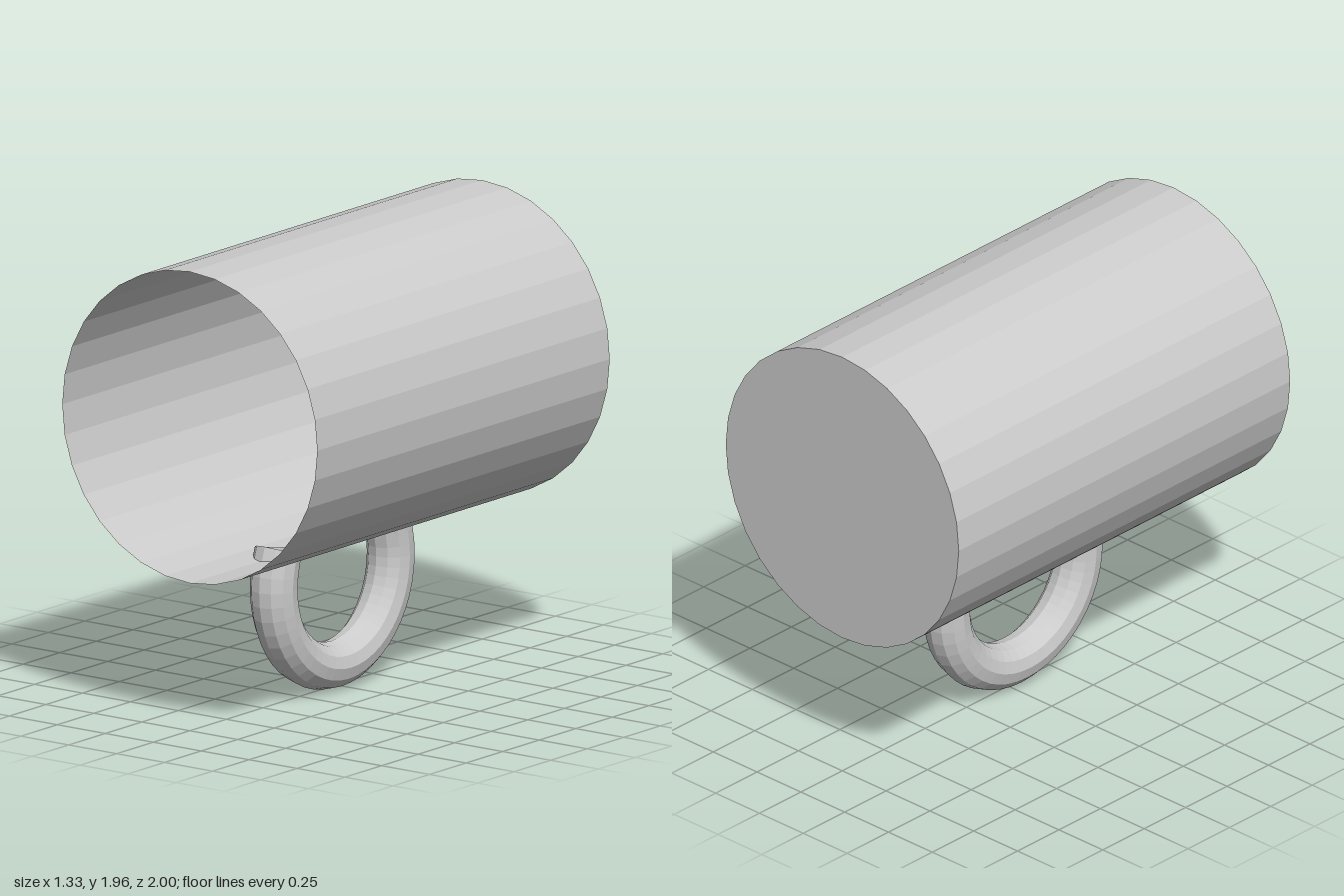
import * as THREE from 'three';

const RADIUS = 0.665, LENGTH = 2, AXIS_Y = 1.295, SIDES = 32;

export function createModel() {
  const group = new THREE.Group();
  const material = new THREE.MeshStandardMaterial({
    color: 0xcccccc, flatShading: true, side: THREE.DoubleSide,
  });
  const add = (name, geometry, x, y, z) => {
    const mesh = new THREE.Mesh(geometry, material);
    mesh.name = name;
    mesh.position.set(x, y, z);
    group.add(mesh);
  };

  // Thin-walled mug lying on its side, mouth towards the front
  const wall = new THREE.CylinderGeometry(RADIUS, RADIUS, LENGTH, SIDES, 1, true);
  wall.rotateX(Math.PI / 2);
  add('mugWall', wall, 0, AXIS_Y, 0);

  // Closed base at the back
  const base = new THREE.CircleGeometry(RADIUS, SIDES);
  base.rotateY(Math.PI);
  add('mugBase', base, 0, AXIS_Y, -LENGTH / 2);

  // Ring handle below, its open ends poking through the wall
  const segments = 30;
  const handle = new THREE.TorusGeometry(0.4, 0.1, 12, segments, Math.PI * 1.25);
  handle.rotateZ(Math.PI * 0.875);
  handle.rotateY(Math.PI / 2);
  const p = handle.attributes.position;
  for (let i = 0; i < p.count; i++) {
    // Lift the inner side of each end so that it meets the wall
    if (i % (segments + 1) % segments === 0) p.setY(i, Math.max(p.getY(i), 0.15));
  }
  handle.computeVertexNormals();
  add('handle', handle, 0.015, 0.5, 0.045);

  return group;
}
